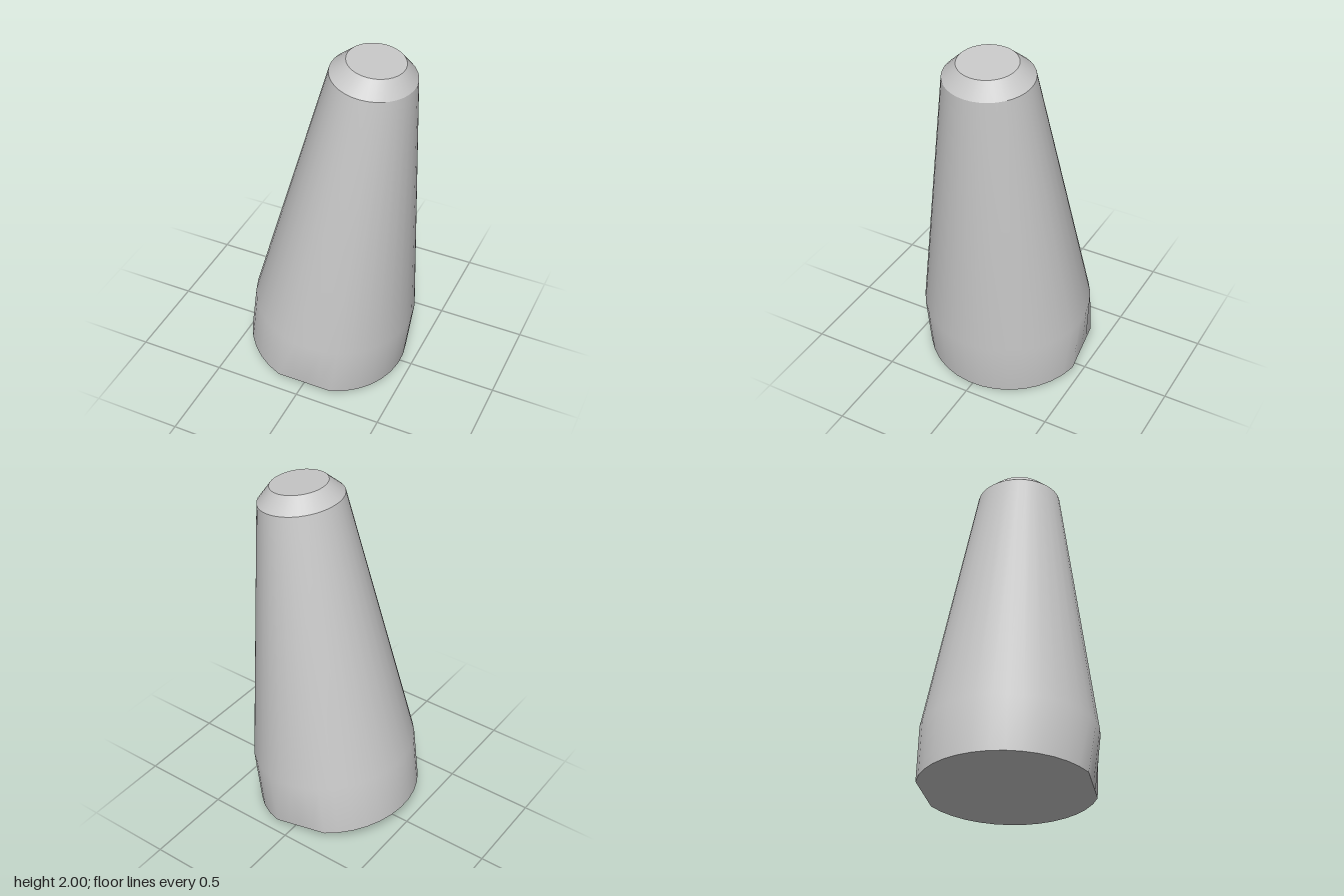
import * as THREE from 'three';

const SIDES = 36;
const FLAT_MID = THREE.MathUtils.degToRad(6.5);
const FLAT_HALF = THREE.MathUtils.degToRad(20);

// Tilted elliptical ring: centre, half-run along x, half-drop along y, half-depth in z
const base = { x: -0.0225, y: 0.064, z: 0, hx: 0.4525, hy: 0.06, rz: 0.475, flats: true };
const belly = { x: 0.0175, y: 0.38, z: 0, hx: 0.4525, hy: 0.052, rz: 0.48 };
const shoulder = { x: 0.2175, y: 1.903, z: -0.007, hx: 0.223, hy: 0.028, rz: 0.242 };
const tip = { x: 0.23, y: 1.982, z: -0.008, hx: 0.151, hy: 0.018, rz: 0.161 };

function ringPoints(r) {
  const points = [];
  for (let i = 0; i < SIDES; i++) {
    const turn = (i / SIDES) * Math.PI * 2;
    // The base rim is cut straight at the front and the back
    const off = turn - Math.round(turn / Math.PI) * Math.PI;
    const k = r.flats && Math.abs(off) < FLAT_HALF ? Math.cos(FLAT_HALF) / Math.cos(off) : 1;
    const s = k * Math.sin(turn + FLAT_MID);
    const c = k * Math.cos(turn + FLAT_MID);
    points.push(r.x + r.hx * s, r.y - r.hy * s, r.z + r.rz * c);
  }
  return points;
}

function geometryFrom(positions, index) {
  const geometry = new THREE.BufferGeometry();
  geometry.setAttribute('position', new THREE.Float32BufferAttribute(positions, 3));
  geometry.setIndex(index);
  geometry.computeVertexNormals();
  return geometry;
}

// Smooth skin through a stack of rings, bottom to top
function loft(rings) {
  const index = [];
  for (let j = 0; j < rings.length - 1; j++) {
    for (let i = 0; i < SIDES; i++) {
      const a = j * SIDES + i;
      const b = j * SIDES + ((i + 1) % SIDES);
      index.push(a, b, b + SIDES, a, b + SIDES, a + SIDES);
    }
  }
  return geometryFrom(rings.flatMap(ringPoints), index);
}

// Flat disc closing a ring
function cap(r, up) {
  const index = [];
  for (let i = 0; i < SIDES; i++) {
    const next = (i + 1) % SIDES;
    index.push(SIDES, up ? i : next, up ? next : i);
  }
  return geometryFrom([...ringPoints(r), r.x, r.y, r.z], index);
}

export function createModel() {
  const group = new THREE.Group();
  group.name = 'leaningCone';
  const grey = new THREE.MeshStandardMaterial({ color: 0xc8c8c8 });
  grey.name = 'light grey';

  const add = (name, geometry) => {
    const mesh = new THREE.Mesh(geometry, grey);
    mesh.name = name;
    group.add(mesh);
  };

  add('body', loft([base, belly, shoulder]));
  add('topBevel', loft([shoulder, tip]));
  add('topFace', cap(tip, true));
  add('bottomFace', cap(base, false));
  return group;
}
